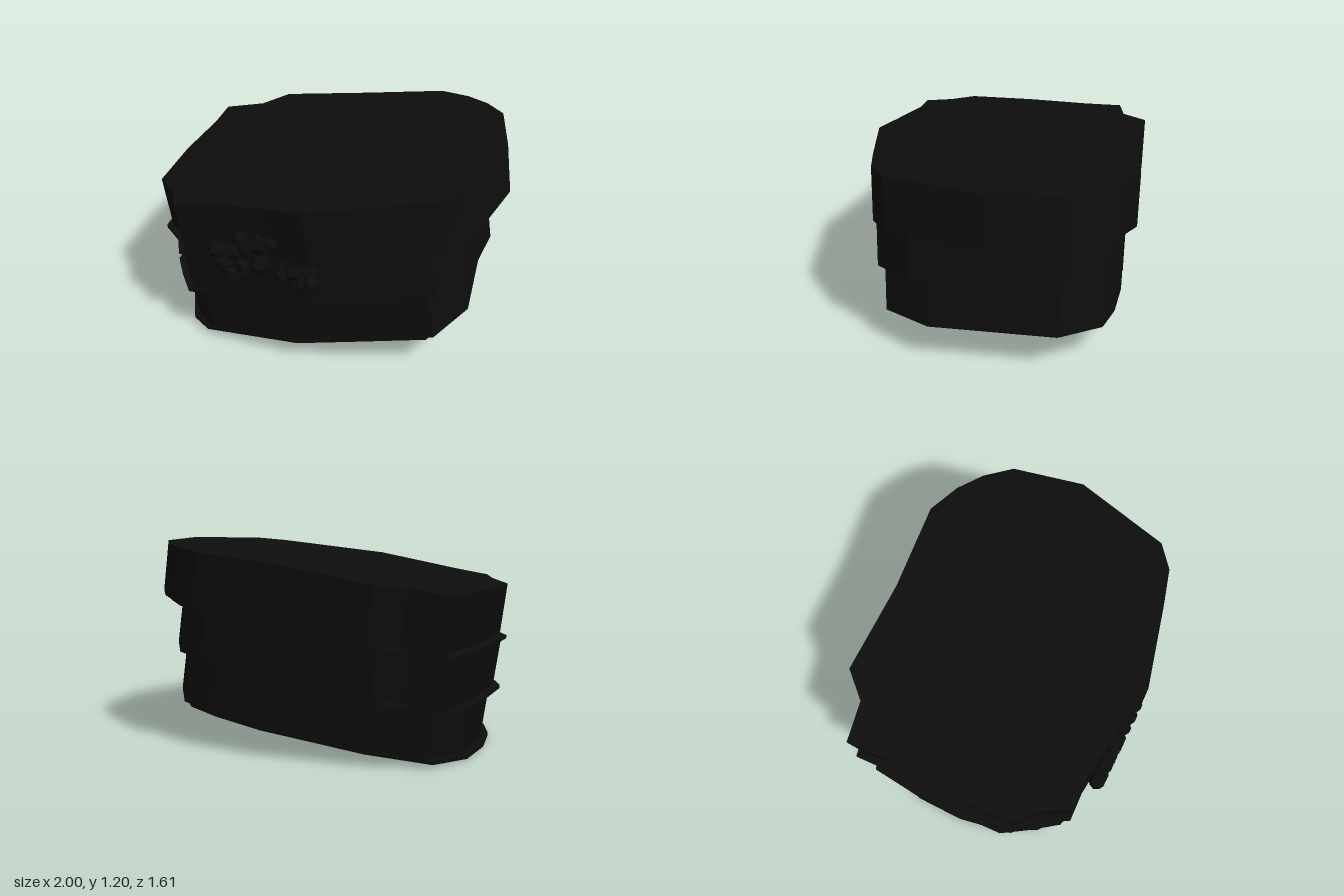
import * as THREE from 'three';

const charcoal = new THREE.MeshStandardMaterial({ color: 0x0d0d0d, flatShading: true });
charcoal.name = 'charcoal';

// Tier outlines as [x, z], running from the +x end round the front to the back
const upperOutline = [[0.955, -0.02], [0.79, 0.54], [0.66, 0.64], [0.45, 0.69], [-0.03, 0.79], [-0.25, 0.74],
  [-0.6, 0.67], [-0.8, 0.67], [-0.87, 0.52], [-1, 0.38], [-1, -0.02], [-0.96, -0.41], [-0.96, -0.64],
  [-0.72, -0.67], [-0.58, -0.81], [-0.04, -0.77], [0.47, -0.79], [0.65, -0.7], [0.78, -0.59], [0.89, -0.44]];
const middleOutline = [[0.87, 0], [0.8, 0.42], [0.64, 0.64], [0.38, 0.68], [-0.03, 0.745], [-0.6, 0.66],
  [-0.79, 0.62], [-0.9, 0.45], [-0.985, 0.3], [-0.985, -0.25], [-0.94, -0.57], [-0.72, -0.63],
  [-0.58, -0.745], [0, -0.73], [0.46, -0.73], [0.64, -0.66], [0.8, -0.43]];
const lowerOutline = [[0.8, 0.33], [0.64, 0.61], [0.3, 0.65], [-0.1, 0.695], [-0.7, 0.6], [-0.83, 0.49],
  [-0.93, 0.25], [-0.965, 0], [-0.95, -0.3], [-0.83, -0.55], [-0.48, -0.67], [0.12, -0.73],
  [0.42, -0.7], [0.63, -0.64], [0.8, -0.4]];

// Sloping planes that bound the tiers
const slope = (base) => (x) => base + 0.144 * x;
const topSurface = (x) => 1.08 + (x < -0.06 ? 0.16 : 0.118) * (x + 0.06);

// Closed solid through stacked copies of an outline; each ring is [x shift, height function]
function loft(name, outline, rings) {
  const n = outline.length, pos = [], idx = [];
  for (const [dx, height] of rings) {
    for (const [x, z] of outline) pos.push(x + dx, height(x + dx), z);
  }
  for (let r = 0; r < rings.length - 1; r++) {
    for (let i = 0; i < n; i++) {
      const a = r * n + i, b = r * n + (i + 1) % n;
      idx.push(b, a, a + n, b, a + n, b + n);
    }
  }
  // End caps fan out from a central point
  const last = rings.length - 1, low = n * rings.length, high = low + 1;
  pos.push(rings[0][0], rings[0][1](rings[0][0]), 0);
  pos.push(rings[last][0], rings[last][1](rings[last][0]), 0);
  for (let i = 0; i < n; i++) {
    const j = (i + 1) % n;
    idx.push(low, i, j, high, last * n + j, last * n + i);
  }
  const indexed = new THREE.BufferGeometry();
  indexed.setAttribute('position', new THREE.Float32BufferAttribute(pos, 3));
  indexed.setIndex(idx);
  const geometry = indexed.toNonIndexed();
  geometry.computeVertexNormals();
  const mesh = new THREE.Mesh(geometry, charcoal);
  mesh.name = name;
  return mesh;
}

// A tier leans with the tilt and has a thin offset lip beneath it
const tier = (name, outline, base, top) => loft(name, outline,
  [[0, slope(base)], [0, slope(base + 0.02)], [0.041, slope(base + 0.02)], [0, top]]);

export function createModel() {
  const model = new THREE.Group();
  model.name = 'tieredBlock';
  model.add(
    tier('upperTier', upperOutline, 0.737, topSurface),
    tier('middleTier', middleOutline, 0.437, slope(0.738)),
    tier('lowerTier', lowerOutline, 0.137, slope(0.438)),
  );

  // Cluster of faceted lumps on the front wall: x, y, radius
  const lumps = [[-0.46, 0.59, 0.07], [-0.5, 0.67, 0.07], [-0.54, 0.73, 0.055], [-0.44, 0.74, 0.06],
    [-0.4, 0.83, 0.06], [-0.35, 0.77, 0.07], [-0.29, 0.68, 0.07], [-0.29, 0.81, 0.07], [-0.22, 0.83, 0.045],
    [-0.38, 0.66, 0.06], [-0.16, 0.65, 0.055], [-0.09, 0.67, 0.06], [-0.06, 0.6, 0.055], [0.01, 0.61, 0.055],
    [0, 0.69, 0.045]];
  const cluster = new THREE.Group();
  cluster.name = 'frontCluster';
  const lumpGeometry = new THREE.DodecahedronGeometry(1);
  lumps.forEach(([x, y, r], i) => {
    const lump = new THREE.Mesh(lumpGeometry, charcoal);
    lump.name = 'lump';
    lump.position.set(x, y, Math.min(0.75, 0.735 + 0.05 * (x + 0.3)));
    lump.scale.set(r, r, 0.05);
    lump.rotation.z = i * 0.7;
    cluster.add(lump);
  });
  model.add(cluster);
  return model;
}
